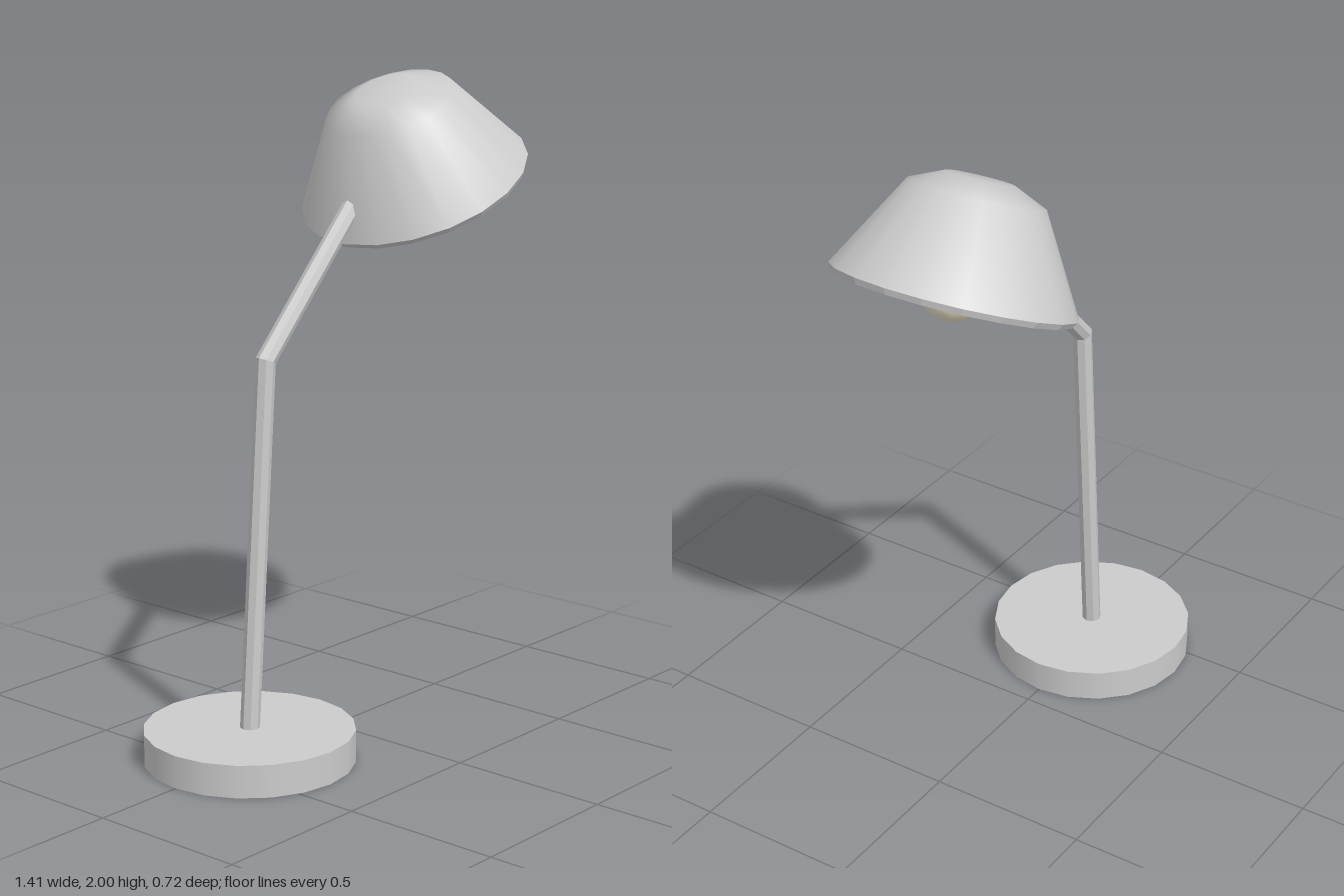
import * as THREE from 'three';

const v2 = (x, y) => new THREE.Vector2(x, y);

export function createModel() {
  const model = new THREE.Group();
  model.name = 'deskLamp';
  const grey = new THREE.MeshStandardMaterial({ color: 0xcccccc });
  const greyFlat = new THREE.MeshStandardMaterial({ color: 0xcccccc, flatShading: true });
  const cream = new THREE.MeshStandardMaterial({ color: 0xf0e6cc });

  const add = (parent, name, geometry, material) => {
    const mesh = new THREE.Mesh(geometry, material);
    mesh.name = name;
    parent.add(mesh);
    return mesh;
  };

  // Round foot
  add(model, 'base', new THREE.CylinderGeometry(0.32, 0.32, 0.1, 20), grey)
    .position.set(-0.385, 0.05, 0);

  // Bent arm: two octagonal rods mitred at the elbow
  const foot = v2(-0.385, 0.08), elbow = v2(-0.304, 1.21), tip = v2(0.235, 1.78);
  const across = (a, b) => {
    const d = b.clone().sub(a).normalize();
    return v2(d.y, -d.x);
  };
  const nLower = across(foot, elbow), nUpper = across(elbow, tip);
  const mitre = nLower.clone().add(nUpper).divideScalar(1 + nLower.dot(nUpper));

  const rod = (a, b, sideA, sideB) => {
    const geometry = new THREE.CylinderGeometry(0.03, 0.03, 1, 8);
    const pos = geometry.attributes.position;
    for (let i = 0; i < pos.count; i++) {
      const atEnd = pos.getY(i) > 0;
      const p = (atEnd ? b : a).clone().addScaledVector(atEnd ? sideB : sideA, pos.getX(i));
      pos.setXY(i, p.x, p.y);
    }
    geometry.computeVertexNormals();
    return geometry;
  };
  add(model, 'lowerArm', rod(foot, elbow, v2(1, 0), mitre), greyFlat);
  add(model, 'upperArm', rod(elbow, tip, mitre, nUpper), greyFlat);

  // Tilted shade: outer shell, bevelled rim and inner lining
  const shade = new THREE.Group();
  shade.name = 'shade';
  shade.position.set(0.376, 1.662, 0);
  shade.rotation.z = THREE.MathUtils.degToRad(25.3);
  model.add(shade);

  const lathe = (...points) => new THREE.LatheGeometry(points.map(([r, y]) => v2(r, y)), 20);
  add(shade, 'shadeShell', lathe([0.36, 0], [0.2, 0.278], [0.1, 0.322], [0, 0.323]), grey);
  add(shade, 'shadeRim', lathe([0.34, -0.018], [0.35, -0.018], [0.36, 0]), greyFlat);
  add(shade, 'shadeLining', lathe([0, 0.3], [0.09, 0.299], [0.185, 0.26], [0.34, -0.018]), grey);

  // Light bulb
  add(model, 'bulb', new THREE.SphereGeometry(0.098, 12, 10), cream)
    .position.set(0.38, 1.675, 0);

  return model;
}
